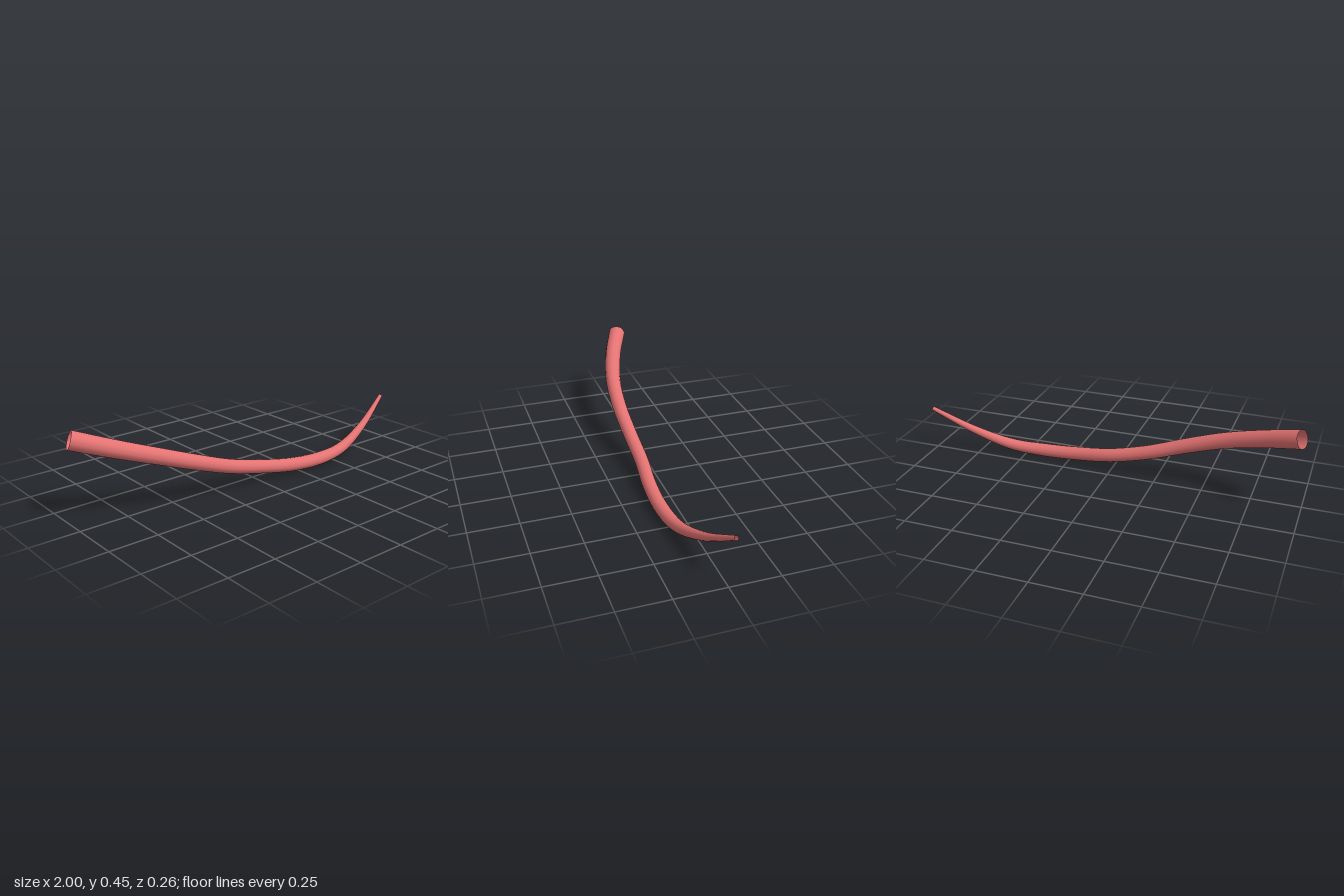
import * as THREE from 'three';

// Centre line of the tentacle: x, y, z, radius
const STATIONS = [
  [-0.977, 0.407, -0.087, 0.047],
  [-0.8, 0.346, -0.012, 0.044],
  [-0.6, 0.278, 0.045, 0.041],
  [-0.4, 0.205, 0.067, 0.039],
  [-0.2, 0.134, 0.067, 0.037],
  [0, 0.083, 0.068, 0.036],
  [0.2, 0.05, 0.087, 0.036],
  [0.4, 0.037, 0.091, 0.035],
  [0.58, 0.051, 0.072, 0.03],
  [0.78, 0.124, 0.032, 0.021],
  [0.994, 0.245, -0.027, 0.011],
];

// Radius interpolated along x
function radiusAt(x) {
  let i = 0;
  while (i < STATIONS.length - 2 && x > STATIONS[i + 1][0]) i++;
  const a = STATIONS[i], b = STATIONS[i + 1];
  const t = THREE.MathUtils.clamp((x - a[0]) / (b[0] - a[0]), 0, 1);
  return THREE.MathUtils.lerp(a[3], b[3], t);
}

export function createModel() {
  const group = new THREE.Group();
  group.name = 'taperedTentacle';

  const path = new THREE.CatmullRomCurve3(
    STATIONS.map(([x, y, z]) => new THREE.Vector3(x, y, z)), false, 'centripetal');
  const segments = 64, sides = 12;
  const geometry = new THREE.TubeGeometry(path, segments, 1, sides, false);

  // Shrink each unit ring to the local radius
  const pos = geometry.attributes.position;
  const v = new THREE.Vector3();
  for (let i = 0; i <= segments; i++) {
    const centre = path.getPointAt(i / segments);
    const r = radiusAt(centre.x);
    for (let j = 0; j <= sides; j++) {
      const k = i * (sides + 1) + j;
      v.fromBufferAttribute(pos, k).sub(centre).multiplyScalar(r).add(centre);
      pos.setXYZ(k, v.x, v.y, v.z);
    }
  }

  // Open-ended hollow skin
  const skin = new THREE.Mesh(geometry,
    new THREE.MeshStandardMaterial({ color: 0xe57373, side: THREE.DoubleSide }));
  skin.name = 'tentacleSkin';
  group.add(skin);
  return group;
}
